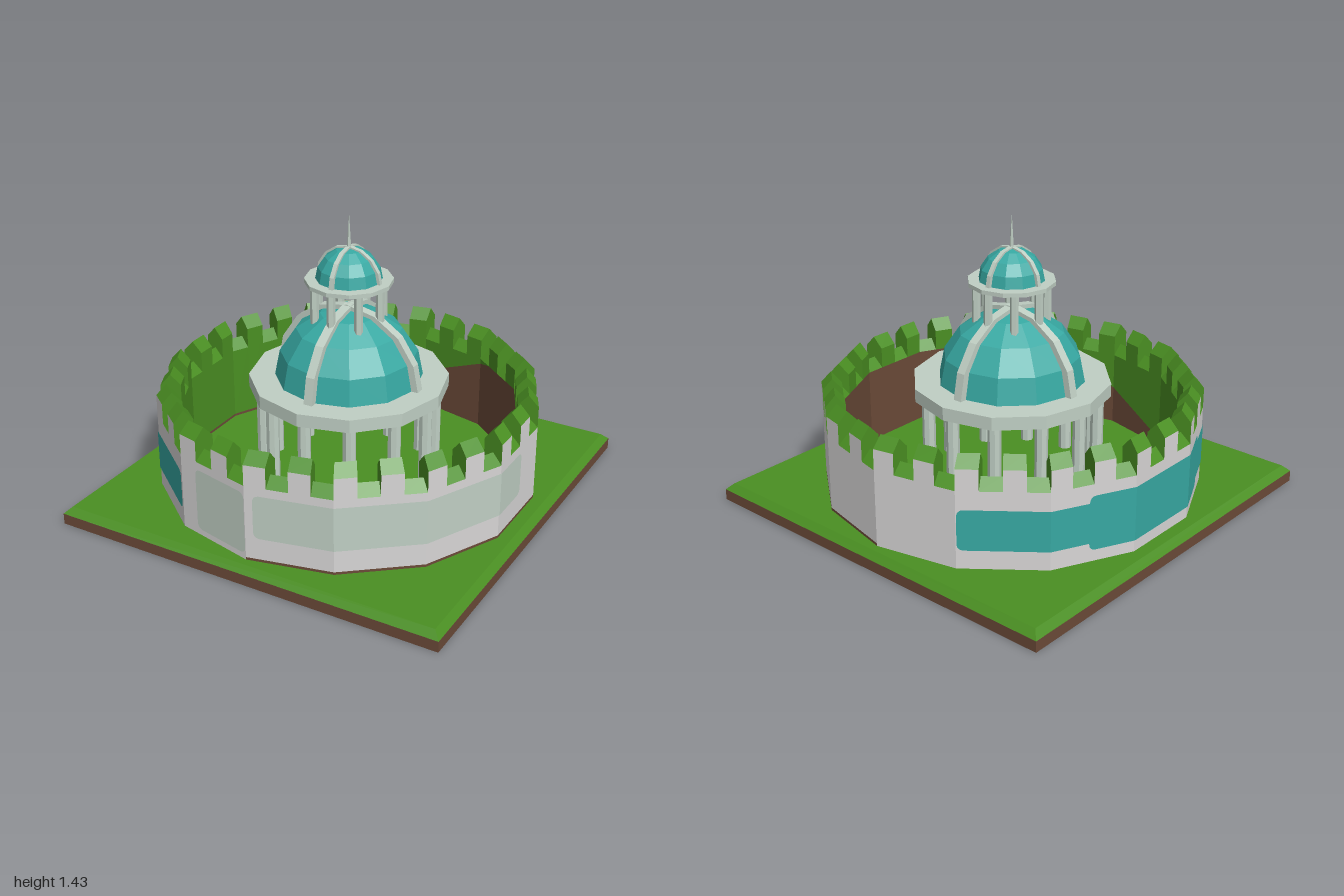
import * as THREE from 'three';

const paint = (name, color) => {
  const m = new THREE.MeshStandardMaterial({ color });
  m.name = name;
  m.flatShading = true;
  return m;
};

export function createModel() {
  const model = new THREE.Group();
  model.name = 'walledDomePavilion';
  const grass = paint('grass green', 0x4a8f22);
  const earth = paint('earth brown', 0x6b4a38);
  const wall = paint('wall grey', 0xd8d6d6);
  const trim = paint('pale stone', 0xc0cfc4);
  const teal = paint('teal', 0x37a8a2);

  const add = (name, geo, mat, x = 0, y = 0, z = 0, parent = model) => {
    const mesh = new THREE.Mesh(geo, mat);
    mesh.name = name;
    mesh.position.set(x, y, z);
    parent.add(mesh);
    return mesh;
  };
  const group = (name) => {
    const g = new THREE.Group();
    g.name = name;
    model.add(g);
    return g;
  };
  // Vertical prism standing on y0
  const prism = (name, rTop, rBottom, y0, y1, sides, mat, x = 0, z = 0, parent = model) =>
    add(name, new THREE.CylinderGeometry(rTop, rBottom, y1 - y0, sides), mat, x, (y0 + y1) / 2, z, parent);

  // Quads gathered into one flat-shaded mesh
  const quadList = () => {
    const p = [];
    return {
      quad(a, b, c, d) { for (const v of [a, b, c, a, c, d]) p.push(...v); },
      build(name, mat, parent) {
        const g = new THREE.BufferGeometry();
        g.setAttribute('position', new THREE.Float32BufferAttribute(p, 3));
        g.computeVertexNormals();
        return add(name, g, mat, 0, 0, 0, parent);
      },
    };
  };

  // Ground slab with a bevelled lawn
  add('groundSlab', new THREE.BoxGeometry(2, 0.055, 2), earth, 0, 0.0275, 0);
  prism('lawn', 0.967 * Math.SQRT2, Math.SQRT2, 0.055, 0.087, 4, grass).rotation.y = Math.PI / 4;

  // Point on the 14-sided wall; u counts sides from the front
  const SIDES = 14, OUT = 0.93, MID = 0.88, IN = 0.83, FLOOR = 0.085;
  const at = (u, r, y) => {
    const i = Math.floor(u + 1e-9), f = u - i, s = (2 * Math.PI) / SIDES;
    const mix = (fn) => r * ((1 - f) * fn(i * s) + f * fn((i + 1) * s));
    return [mix(Math.sin), y, mix(Math.cos)];
  };

  // Curtain wall with gabled battlements
  const ring = group('curtainWall');
  const outer = quadList(), footing = quadList(), top = quadList(), inner = quadList(), bank = quadList();
  const bankHeight = (u) => {
    const turn = Math.abs((((u / SIDES) * 360 + 90) % 360) - 180);
    return THREE.MathUtils.clamp(0.47 - 0.0062 * (turn - 60), 0.1, 0.47);
  };
  const LOW = 0.47, RIDGE_LOW = 0.52, HIGH = 0.575, RIDGE_HIGH = 0.63;
  for (let k = 0; k < SIDES * 4; k++) {
    const a = k / 4, b = a + 0.25, merlon = k % 2 === 0;
    const eave = merlon ? HIGH : LOW, ridge = merlon ? RIDGE_HIGH : RIDGE_LOW;
    const foot = a < SIDES / 2 ? 0.1 : FLOOR;
    outer.quad(at(a, OUT, foot), at(b, OUT, foot), at(b, OUT, eave), at(a, OUT, eave));
    if (foot > FLOOR) footing.quad(at(a, OUT, FLOOR), at(b, OUT, FLOOR), at(b, OUT, foot), at(a, OUT, foot));
    top.quad(at(a, OUT, eave), at(b, OUT, eave), at(b, MID, ridge), at(a, MID, ridge));
    top.quad(at(b, IN, eave), at(a, IN, eave), at(a, MID, ridge), at(b, MID, ridge));
    const ha = bankHeight(a), hb = bankHeight(b);
    bank.quad(at(b, IN, FLOOR), at(a, IN, FLOOR), at(a, IN, ha), at(b, IN, hb));
    inner.quad(at(b, IN, hb), at(a, IN, ha), at(a, IN, eave), at(b, IN, eave));
    if (merlon) {
      for (const [u, flip] of [[a, false], [b, true]]) {
        const caps = [
          [at(u, OUT, LOW), at(u, OUT, HIGH), at(u, MID, RIDGE_HIGH), at(u, MID, RIDGE_LOW)],
          [at(u, MID, RIDGE_LOW), at(u, MID, RIDGE_HIGH), at(u, IN, HIGH), at(u, IN, LOW)],
        ];
        for (const c of caps) top.quad(...(flip ? c.reverse() : c));
      }
    }
  }
  outer.build('outerFace', wall, ring);
  footing.build('earthFooting', earth, ring);
  top.build('battlements', grass, ring);
  inner.build('innerFace', grass, ring);
  bank.build('innerEarth', earth, ring);

  // Painted panels that follow the wall, with rounded ends
  const panel = (name, deg0, deg1, y0, y1, mat, roundStart = true, roundEnd = true) => {
    const q = quadList(), u0 = (deg0 * SIDES) / 360, u1 = (deg1 * SIDES) / 360, r = 0.03, ur = r / 0.414;
    const us = [u0, u1];
    for (const t of [0.1, 0.3, 0.6, 1]) us.push(u0 + ur * t, u1 - ur * t);
    for (let i = Math.ceil(u0); i < u1; i++) us.push(i);
    us.sort((m, n) => m - n);
    const inset = (u) => {
      const d = Math.min(roundStart ? (u - u0) / ur : 1, roundEnd ? (u1 - u) / ur : 1, 1);
      return r * (1 - Math.sqrt(Math.max(0, 1 - (1 - d) ** 2)));
    };
    const R = OUT + 0.004;
    for (let i = 0; i < us.length - 1; i++) {
      const a = us[i], b = us[i + 1], ia = inset(a), ib = inset(b);
      if (b - a < 1e-6) continue;
      q.quad(at(a, R, y0 + ia), at(b, R, y0 + ib), at(b, R, y1 - ib), at(a, R, y1 - ia));
    }
    q.build(name, mat, ring);
  };
  panel('tealPanelCentre', -117, -63, 0.145, 0.415, teal);
  panel('tealPanelFront', -63, -26, 0.18, 0.38, teal, false, true);
  panel('tealPanelBack', -154, -117, 0.18, 0.38, teal, true, false);
  panel('palePanelSmall', -19.5, 0, 0.12, 0.435, trim);
  panel('palePanelLong', 2.5, 91, 0.21, 0.43, trim);

  // Evenly spaced columns
  const colonnade = (name, count, radius, r, y0, y1, sides) => {
    const g = group(name);
    for (let i = 0; i < count; i++) {
      const t = (i / count) * Math.PI * 2;
      prism('column', r, r, y0, y1, sides, trim, radius * Math.sin(t), radius * Math.cos(t), g);
    }
  };
  // Faceted half dome with two crossing rib arches
  const dome = (name, r, y, ribOut, ribY, ribWidth) => {
    const g = group(name);
    add('shell', new THREE.SphereGeometry(r, 12, 4, 0, Math.PI * 2, 0, Math.PI / 2), teal, 0, y, 0, g);
    const s = new THREE.Shape(), steps = 8, thick = ribWidth * 1.1;
    for (let i = 0; i <= steps; i++) {
      const t = (i / steps) * Math.PI;
      s[i ? 'lineTo' : 'moveTo'](ribOut * Math.cos(t), ribOut * Math.sin(t));
    }
    for (let i = steps; i >= 0; i--) {
      const t = (i / steps) * Math.PI;
      s.lineTo((ribOut - thick) * Math.cos(t), (ribOut - thick) * Math.sin(t));
    }
    const geo = new THREE.ExtrudeGeometry(s, { depth: ribWidth, bevelEnabled: false });
    geo.translate(0, 0, -ribWidth / 2);
    add('ribArch', geo, trim, 0, ribY, 0, g);
    add('ribArch', geo, trim, 0, ribY, 0, g).rotation.y = Math.PI / 2;
  };

  // Pavilion and main dome
  colonnade('pavilionColumns', 12, 0.42, 0.032, FLOOR, 0.56, 8);
  prism('pavilionRing', 0.485, 0.485, 0.555, 0.62, 12, trim);
  dome('mainDome', 0.36, 0.61, 0.39, 0.6, 0.045);

  // Lantern, small dome and spire
  colonnade('lanternColumns', 8, 0.168, 0.021, 0.9, 1.105, 6);
  prism('lanternRing', 0.212, 0.212, 1.1, 1.12, 12, trim);
  dome('lanternDome', 0.16, 1.115, 0.174, 1.108, 0.022);
  prism('spire', 0.001, 0.011, 1.26, 1.43, 6, trim);

  return model;
}
